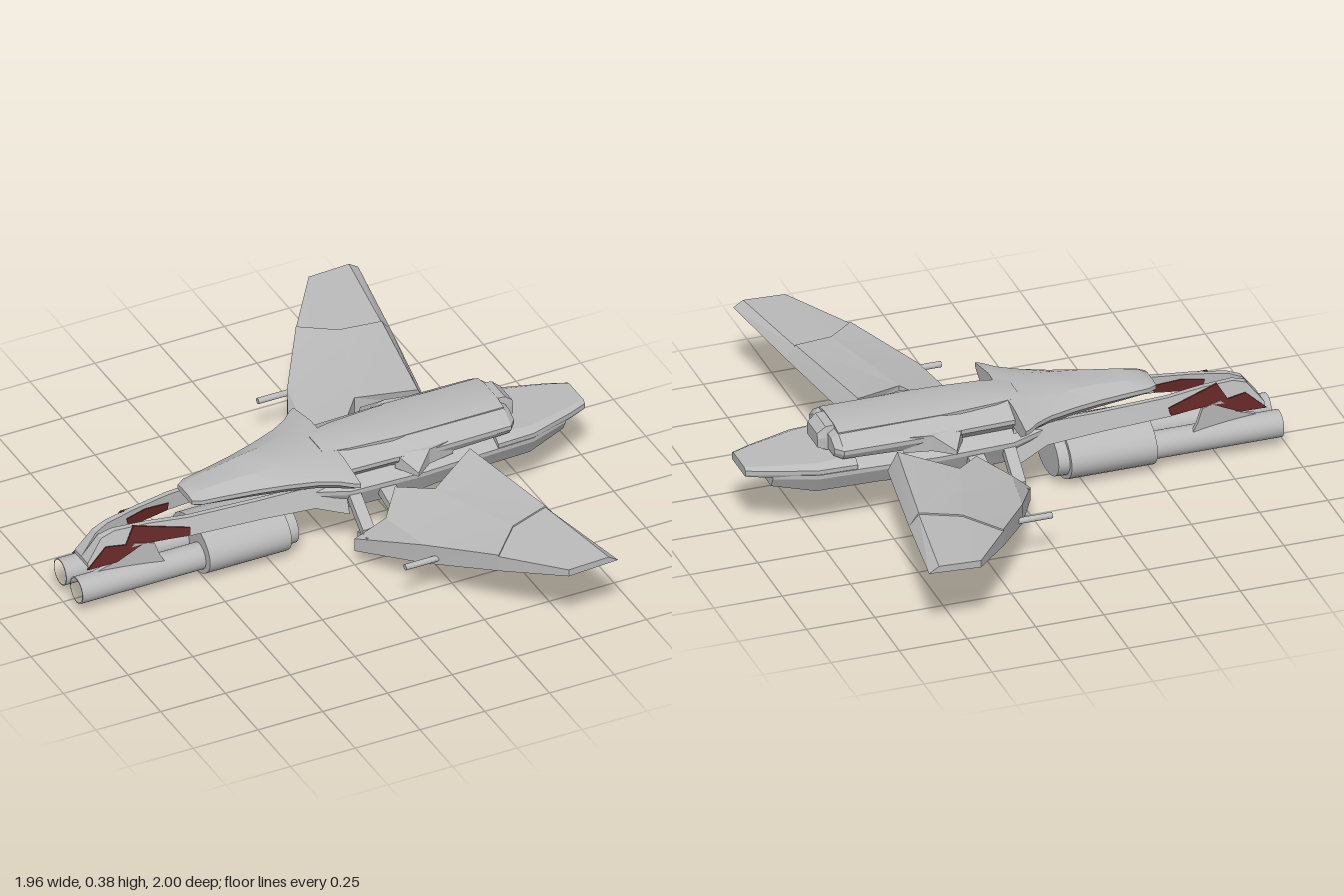
import * as THREE from 'three';
import { toCreasedNormals } from 'three/addons/utils/BufferGeometryUtils.js';

const grey = new THREE.MeshStandardMaterial({ color: 0xbababa });
grey.name = 'hull grey';
const red = new THREE.MeshStandardMaterial({ color: 0x622626 });
red.name = 'dark red';

// Closed solid from rings of [x, y, z]
function loft(rings, crease = 0.35) {
  const tris = [], n = rings[0].length, last = rings.length - 1;
  for (let i = 0; i < last; i++) {
    for (let j = 0; j < n; j++) {
      const k = (j + 1) % n, a = rings[i], b = rings[i + 1];
      tris.push([a[j], b[j], b[k]], [a[j], b[k], a[k]]);
    }
  }
  for (let j = 1; j < n - 1; j++) {
    tris.push([rings[0][0], rings[0][j], rings[0][j + 1]]);
    tris.push([rings[last][0], rings[last][j + 1], rings[last][j]]);
  }
  return solid(tris, crease);
}

// Geometry from triangles, turned outward by signed volume
function solid(tris, crease) {
  let volume = 0;
  const v = (p) => new THREE.Vector3(...p);
  for (const [a, b, c] of tris) volume += v(a).dot(v(b).cross(v(c)));
  const pts = tris.flatMap(([a, b, c]) => (volume < 0 ? [a, c, b] : [a, b, c])).flat();
  const g = new THREE.BufferGeometry();
  g.setAttribute('position', new THREE.Float32BufferAttribute(pts, 3));
  g.computeVertexNormals();
  return toCreasedNormals(g, crease);
}

// Solid between an outline's lower and upper copies, each placed by a rule
function slab(outline, lower, upper) {
  const flat = outline.map(([a, b]) => new THREE.Vector2(a, b));
  const lo = outline.map(lower), hi = outline.map(upper), tris = [];
  const clockwise = THREE.ShapeUtils.isClockWise(flat);
  for (const [a, b, c] of THREE.ShapeUtils.triangulateShape(flat, [])) {
    tris.push([hi[a], hi[b], hi[c]], [lo[a], lo[c], lo[b]]);
  }
  outline.forEach((_, i) => {
    const k = (i + 1) % outline.length;
    const quad = [[lo[i], lo[k], hi[k]], [lo[i], hi[k], hi[i]]];
    tris.push(...(clockwise ? quad.map(([a, b, c]) => [a, c, b]) : quad));
  });
  return solid(tris, 0.2);
}

// Symmetric eight-sided section at x
const section = ([x, w, bottom, edge, top, wb = 0.8, wt = 0.5]) => [
  [x, bottom, -w * wb], [x, edge - 0.008, -w], [x, edge + 0.008, -w], [x, top, -w * wt],
  [x, top, w * wt], [x, edge + 0.008, w], [x, edge - 0.008, w], [x, bottom, w * wb]];

// Wing surfaces: leading edge [z, x, y] rises outward, trailing edge [z, x] is level
const lead = [[0.25, 0, 0.115], [0.53, 0.13, 0.22], [0.78, 0.29, 0.282], [1, 0.45, 0.312]];
const trail = [[0.2, 0.47], [0.63, 0.546], [1, 0.605]];
const wingAt = (x, z) => {
  let i = 0;
  while (i < 2 && z > lead[i + 1][0]) i++;
  const [a, b] = [lead[i], lead[i + 1]];
  const t = Math.max(0, (z - a[0]) / (b[0] - a[0]));
  const x0 = a[1] + t * (b[1] - a[1]), y0 = a[2] + t * (b[2] - a[2]);
  const c = THREE.MathUtils.clamp((x - x0) / (0.47 + (z - 0.2) * 0.17 - x0), 0, 1);
  const under = 0.07 + 0.287 * (z - 0.25);
  return { top: y0 + (0.318 - y0) * c ** 0.45, bottom: under + (0.245 + 0.05 * z - under) * c };
};
const wingPanel = (outline, lift) => slab(outline,
  ([x, z]) => [x + (trail.some((p) => p[0] === z && p[1] === x) ? 0.036 : 0), wingAt(x, z).bottom, z],
  ([x, z]) => [x, wingAt(x, z).top + lift, z]);

// Sides of the fork prongs; the outer one leans inward with height
const prongZ = (x) => 0.012 + 0.2 * Math.min(x + 0.93, 0.37) + 0.08 * Math.max(0, x + 0.56);
const prongOuter = (x, y) => prongZ(x) + 0.03 - (y - 0.2) * 0.35;
const prongInner = (x) => Math.max(0, prongZ(x) - 0.018);

export function createModel() {
  const model = new THREE.Group();
  const add = (name, geometry, material = grey) => {
    const m = new THREE.Mesh(geometry, material);
    m.name = name;
    model.add(m);
    return m;
  };
  const tube = (name, x0, x1, y, z, r0, r1 = r0, zScale = 1, open = false) => {
    const g = new THREE.CylinderGeometry(r1, r0, x1 - x0, 32, 1, open);
    g.rotateZ(-Math.PI / 2).scale(1, 1, zScale);
    add(name, g).position.set((x0 + x1) / 2, y, z);
  };

  // Upper hull, flaring to shoulders and then narrowing
  add('upperHull', loft([
    [-0.53, 0.055, 0.305, 0.315, 0.328], [-0.5, 0.075, 0.3, 0.318, 0.342],
    [-0.42, 0.09, 0.298, 0.322, 0.356], [-0.3, 0.115, 0.297, 0.328, 0.368],
    [-0.2, 0.143, 0.297, 0.333, 0.372], [-0.1, 0.178, 0.297, 0.338, 0.375],
    [-0.04, 0.212, 0.297, 0.34, 0.377], [0.0, 0.25, 0.3, 0.342, 0.378],
    [0.02, 0.26, 0.3, 0.342, 0.378],
  ].map(section), 0.5));
  add('rearHull', loft([
    [0.01, 0.15, 0.29, 0.33, 0.378], [0.2, 0.155, 0.29, 0.33, 0.378],
    [0.3, 0.165, 0.29, 0.33, 0.378, 0.9, 0.65], [0.65, 0.16, 0.3, 0.33, 0.375, 0.9, 0.65],
    [0.675, 0.13, 0.305, 0.33, 0.36, 0.9, 0.7],
  ].map(section)));
  add('dorsalSpine', loft([
    [-0.03, 0.065, 0.36, 0.369, 0.38], [0.06, 0.085, 0.36, 0.372, 0.39],
    [0.25, 0.1, 0.36, 0.372, 0.39], [0.65, 0.1, 0.36, 0.372, 0.39],
  ].map(section)));
  add('engineBlock', loft([
    [0.64, 0.062, 0.3, 0.34, 0.388, 1, 0.85], [0.68, 0.062, 0.3, 0.34, 0.385, 1, 0.85],
    [0.71, 0.055, 0.31, 0.335, 0.36, 1, 0.85],
  ].map(section)));

  // Lower hull, belly, pylon and tail
  add('lowerHull', loft([
    [-0.14, 0.11, 0.225, 0.26, 0.3], [-0.04, 0.15, 0.205, 0.26, 0.31],
    [0.03, 0.165, 0.17, 0.25, 0.31], [0.3, 0.175, 0.165, 0.25, 0.31],
    [0.5, 0.165, 0.18, 0.25, 0.3], [0.74, 0.155, 0.18, 0.25, 0.29],
    [0.89, 0.1, 0.205, 0.25, 0.275],
  ].map(section)));
  add('tail', loft([
    [0.6, 0.16, 0.25, 0.268, 0.3, 0.95, 0.8], [0.74, 0.155, 0.25, 0.268, 0.29, 0.95, 0.8],
    [0.91, 0.1, 0.25, 0.268, 0.286, 0.95, 0.8], [0.98, 0.07, 0.252, 0.268, 0.284, 0.95, 0.8],
  ].map(section)));
  add('belly', loft([
    [0.0, 0.07, 0.15, 0.17, 0.21], [0.12, 0.08, 0.128, 0.16, 0.21],
    [0.32, 0.08, 0.13, 0.16, 0.21], [0.42, 0.07, 0.14, 0.16, 0.2],
  ].map(section)));
  add('pylon', new THREE.BoxGeometry(0.07, 0.1, 0.06)).position.set(-0.025, 0.19, 0);

  // Oval drum with its rear rim
  tube('drum', -0.505, -0.19, 0.107, 0, 0.095, 0.095, 1.53);
  tube('drumRim', -0.2, -0.15, 0.107, 0, 0.082, 0.08, 1.53);

  // Wing in two panels: a slightly raised inner one and the tip
  const [l0, l1, l2, l3] = lead.map(([z, x]) => [x, z]);
  const [t0, t1, t2] = trail.map(([z, x]) => [x, z]);
  const seam = [0.4, 0.67];
  const innerWing = wingPanel([l0, l1, l2, seam, t1, t0, [0.28, 0.31], [0.18, 0.2], [0.09, 0.31]], 0.006);
  const wingTip = wingPanel([l2, l3, t2, t1, seam], 0);

  // Fork prongs: x, bottom, top
  const prong = loft([
    [-0.93, 0.165, 0.18], [-0.87, 0.19, 0.258], [-0.82, 0.215, 0.277], [-0.7, 0.22, 0.284],
    [-0.56, 0.22, 0.283], [-0.3, 0.22, 0.285], [-0.1, 0.215, 0.29], [0.02, 0.17, 0.3],
  ].map(([x, b, t]) => [
    [x, b, prongInner(x)], [x, b, prongOuter(x, b)], [x, t, prongOuter(x, t)], [x, t, prongInner(x)]]));

  // Red cheek plates: a large outer one and a short inner one
  const outerCheek = slab(
    [[-0.935, 0.16], [-0.83, 0.172], [-0.73, 0.22], [-0.565, 0.225], [-0.56, 0.25],
      [-0.66, 0.268], [-0.755, 0.285], [-0.79, 0.225], [-0.86, 0.228]],
    ([x, y]) => [x, y, prongOuter(x, y) - 0.003], ([x, y]) => [x, y, prongOuter(x, y) + 0.005]);
  const innerCheek = slab([[-0.73, 0.222], [-0.565, 0.225], [-0.56, 0.25], [-0.66, 0.268], [-0.74, 0.26]],
    ([x, y]) => [x, y, prongInner(x) - 0.004], ([x, y]) => [x, y, prongInner(x) + 0.003]);

  // Fin joining each prong to a barrel
  const fin = slab(
    [[-0.92, 0.13], [-0.64, 0.11], [-0.67, 0.16], [-0.69, 0.215], [-0.76, 0.228], [-0.82, 0.17]],
    ([x, y]) => [x, y, 0.035 + (x + 0.93) * 0.15], ([x, y]) => [x, y, 0.05 + (x + 0.93) * 0.15]);

  // Small pointed covers beside the rear hull
  const cover = slab([[0.21, 0.14], [0.26, 0.225], [0.33, 0.17], [0.43, 0.15]],
    ([x, z]) => [x, 0.285, z], ([x, z]) => [x, z > 0.2 ? 0.3 : 0.345, z]);

  // Bracket from hull to wing root
  const bracket = (x, z0, y0, z1, y1, w, h) => loft([[z0, y0], [z1, y1]].map(([z, y]) => [
    [x - w, y - h, z], [x + w, y - h, z], [x + w, y + h, z], [x - w, y + h, z]]));

  // Lip around the open barrel mouth
  const lip = new THREE.RingGeometry(0.044, 0.049, 32).rotateY(-Math.PI / 2);

  for (const s of [1, -1]) {
    const side = (name, geometry, material) => {
      const g = geometry.clone();
      if (s < 0) {
        g.scale(1, 1, -1);
        // restore the corner order after mirroring
        for (const key of ['position', 'normal']) {
          const a = g.attributes[key];
          for (let i = 0; i < a.count; i += 3) {
            const p = [a.getX(i), a.getY(i), a.getZ(i)];
            a.setXYZ(i, a.getX(i + 1), a.getY(i + 1), a.getZ(i + 1));
            a.setXYZ(i + 1, ...p);
          }
        }
      }
      add(name, g, material);
    };
    side('innerWing', innerWing);
    side('wingTip', wingTip);
    side('forkProng', prong);
    side('outerCheek', outerCheek, red);
    side('innerCheek', innerCheek, red);
    side('barrelFin', fin);
    side('hullCover', cover);
    side('upperBracket', bracket(0.045, 0.13, 0.25, 0.27, 0.14, 0.022, 0.02));
    side('rearBracket', bracket(0.17, 0.13, 0.23, 0.24, 0.2, 0.03, 0.018));
    side('rootFoot', bracket(0.045, 0.225, 0.105, 0.3, 0.12, 0.022, 0.025));
    tube('gunBarrel', -0.98, -0.49, 0.092, s * 0.063, 0.049, 0.049, 1, true);
    add('barrelLip', lip).position.set(-0.98, 0.092, s * 0.063);
    tube('wingGun', 0.035, 0.17, 0.185, s * 0.567, 0.011);
  }
  return model;
}
